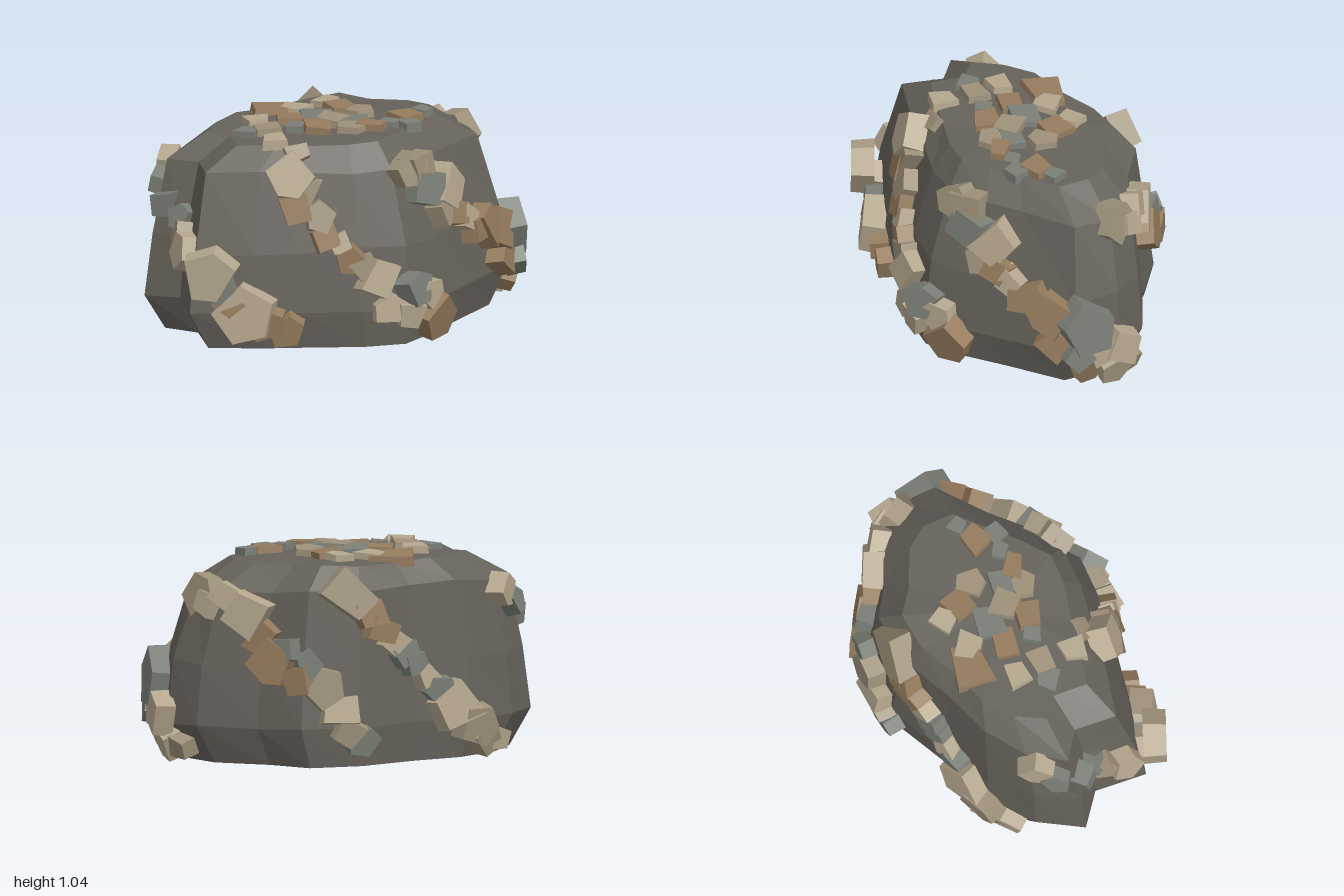
import * as THREE from 'three';
import { ConvexGeometry } from 'three/addons/geometries/ConvexGeometry.js';

// widest outline of the boulder, [x, z]
const OUTLINE = [
  [0.92, -0.03], [0.87, 0.2], [0.57, 0.36], [0.36, 0.48], [0.13, 0.58], [-0.1, 0.53],
  [-0.38, 0.41], [-0.6, 0.32], [-0.88, 0.18], [-0.8, -0.07], [-0.92, -0.22], [-0.75, -0.4],
  [-0.5, -0.51], [-0.2, -0.54], [0.13, -0.61], [0.43, -0.58], [0.59, -0.4], [0.84, -0.22],
];
// height, x scale, z scale, z shift
const LEVELS = [
  [0.01, 0.88, 0.97, 0], [0.2, 1, 1, 0], [0.5, 0.96, 0.94, -0.01], [0.87, 0.85, 0.81, -0.05], [0.985, 0.63, 0.66, -0.06],
];

// bands of stones winding down the sides: [x, y, z, stone size, extra lift off the surface]
const BANDS = {
  frontBand: [
    [-0.43, 0.85, 0.32, 0.22], [-0.34, 0.78, 0.34, 0.17], [-0.39, 0.7, 0.35, 0.17], [-0.28, 0.66, 0.4, 0.14], [-0.26, 0.57, 0.43, 0.14],
    [-0.19, 0.53, 0.46, 0.12], [-0.15, 0.46, 0.48, 0.12], [-0.09, 0.42, 0.5, 0.14], [-0.03, 0.35, 0.54, 0.18],
    [0.13, 0.29, 0.56, 0.17], [0.02, 0.21, 0.55, 0.13], [0.11, 0.19, 0.57, 0.15], [0.22, 0.25, 0.54, 0.15], [0.27, 0.14, 0.52, 0.2],
  ],
  frontLeftBand: [
    [0.2, 0.84, 0.44, 0.16], [0.29, 0.84, 0.42, 0.18], [0.33, 0.73, 0.43, 0.2], [0.45, 0.7, 0.38, 0.21],
    [0.42, 0.61, 0.42, 0.16], [0.5, 0.57, 0.39, 0.15], [0.56, 0.53, 0.35, 0.13], [0.62, 0.46, 0.33, 0.15], [0.7, 0.45, 0.28, 0.18],
    [0.77, 0.42, 0.24, 0.21], [0.88, 0.38, 0.14, 0.24], [0.79, 0.27, 0.25, 0.16], [0.85, 0.25, 0.19, 0.16],
    [0.91, 0.27, 0.1, 0.16], [0.87, 0.16, 0.15, 0.13], [0.92, 0.24, -0.02, 0.18], [0.9, 0.11, 0, 0.16], [0.89, 0.1, -0.1, 0.13],
  ],
  backLeftBand: [
    [0.75, 0.83, -0.11, 0.18, -0.05], [0.71, 0.79, -0.18, 0.13, -0.02], [0.66, 0.83, -0.24, 0.15, -0.02], [0.6, 0.75, -0.32, 0.21],
    [0.56, 0.64, -0.39, 0.15], [0.52, 0.52, -0.44, 0.2], [0.49, 0.57, -0.5, 0.15], [0.4, 0.53, -0.57, 0.13], [0.42, 0.44, -0.56, 0.15],
    [0.33, 0.4, -0.58, 0.19], [0.24, 0.28, -0.6, 0.19], [0.2, 0.19, -0.6, 0.14], [0.13, 0.14, -0.61, 0.13],
  ],
  backBand: [
    [0.16, 0.85, -0.53, 0.25, -0.03], [0.07, 0.75, -0.54, 0.15], [0.02, 0.67, -0.55, 0.16], [-0.05, 0.61, -0.54, 0.13],
    [-0.11, 0.55, -0.53, 0.13], [-0.17, 0.49, -0.53, 0.13], [-0.24, 0.43, -0.53, 0.12], [-0.31, 0.36, -0.53, 0.13],
    [-0.4, 0.28, -0.53, 0.23], [-0.48, 0.18, -0.5, 0.18], [-0.55, 0.12, -0.47, 0.17], [-0.62, 0.1, -0.43, 0.14],
  ],
  rightBand: [
    [-0.68, 0.8, -0.33, 0.15], [-0.7, 0.73, -0.26, 0.13], [-0.74, 0.66, -0.17, 0.12], [-0.75, 0.6, -0.1, 0.11],
    [-0.77, 0.54, -0.02, 0.12], [-0.82, 0.49, 0.08, 0.15], [-0.88, 0.42, 0.23, 0.25, 0.05], [-0.83, 0.37, 0.22, 0.14], [-0.78, 0.32, 0.26, 0.14],
    [-0.73, 0.26, 0.28, 0.15], [-0.65, 0.22, 0.32, 0.24], [-0.57, 0.16, 0.36, 0.16], [-0.47, 0.12, 0.4, 0.14],
  ],
};

// flat stones on the top: [x, z, size]
const TOP_STONES = [
  [-0.15, -0.34, 0.2], [-0.05, -0.29, 0.15], [0.12, -0.3, 0.13], [-0.32, -0.19, 0.13], [-0.15, -0.13, 0.15],
  [-0.03, -0.13, 0.17], [0.15, -0.2, 0.17], [0.2, -0.08, 0.15], [-0.42, -0.07, 0.12], [-0.33, -0.04, 0.13],
  [-0.2, 0, 0.1], [-0.1, 0.04, 0.15], [0.02, -0.02, 0.16], [0.1, 0.03, 0.15], [-0.37, 0.12, 0.14],
  [-0.31, 0.22, 0.12], [0.04, 0.12, 0.12], [0.14, 0.14, 0.13], [0.25, 0.14, 0.09], [0.36, 0.08, 0.14],
  [0.47, 0.04, 0.09], [0.33, 0.17, 0.1],
];

const material = (color) => new THREE.MeshStandardMaterial({ color, flatShading: true });

function seeded(seed) {
  return () => {
    seed = (seed * 16807) % 2147483647;
    return seed / 2147483647;
  };
}

// faceted boulder lofted through scaled copies of the outline
function makeBoulder(random) {
  const n = OUTLINE.length, position = [], index = [];
  LEVELS.forEach(([y, sx, sz, shift], l) => {
    OUTLINE.forEach(([x, z]) => {
      const wobble = l < 2 ? 1 : 1 + (random() - 0.5) * 0.02;
      const lift = l === 0 ? 0 : (random() - 0.5) * (l === 4 ? 0.015 : 0.03);
      position.push(x * sx * wobble, y + lift, z * sz * wobble + shift);
    });
  });
  position.push(0, 0.01, 0, 0, 1.0, -0.05);
  const bottom = n * LEVELS.length, top = bottom + 1, last = n * (LEVELS.length - 1);
  for (let i = 0; i < n; i++) {
    const j = (i + 1) % n;
    for (let l = 0; l < LEVELS.length - 1; l++) {
      const a = l * n + i, b = l * n + j, c = b + n, d = a + n;
      index.push(a, d, c, a, c, b);
    }
    index.push(bottom, i, j, top, last + j, last + i);
  }
  const geometry = new THREE.BufferGeometry();
  geometry.setAttribute('position', new THREE.Float32BufferAttribute(position, 3));
  geometry.setIndex(index);
  const flat = geometry.toNonIndexed();
  flat.computeVertexNormals();
  const mesh = new THREE.Mesh(flat, material(0x66625b));
  mesh.name = 'boulder';
  return mesh;
}

// chipped slab with four or five uneven sides, lying on its local xz plane
function makeStone(size, thickness, random, mat) {
  const sides = 4 + Math.floor(random() * 1.6);
  const points = [], turn = random() * 6.28, stretch = 0.95 + random() * 0.25;
  for (let i = 0; i < sides; i++) {
    const a = turn + ((i + (random() - 0.5) * 0.4) / sides) * Math.PI * 2;
    const r = size * (0.54 + random() * 0.14);
    const x = Math.cos(a) * r * stretch, z = Math.sin(a) * r;
    points.push(new THREE.Vector3(x, -thickness / 2, z));
    points.push(new THREE.Vector3(x * 0.93, thickness / 2, z * 0.93));
  }
  return new THREE.Mesh(new ConvexGeometry(points), mat);
}

export function createModel() {
  const random = seeded(4217);
  const model = new THREE.Group();
  model.name = 'rock';
  const boulder = makeBoulder(random);
  model.add(boulder);

  const palette = [0xb5a78e, 0x957b5d, 0x7b7f76, 0x9e917a].map(material);
  const up = new THREE.Vector3(0, 1, 0);
  const hitFrom = (origin, direction) => new THREE.Raycaster(origin, direction).intersectObject(boulder)[0];
  const pick = () => palette[Math.floor(random() * palette.length)];

  // stones seated on the boulder's sides
  for (const [name, stones] of Object.entries(BANDS)) {
    const band = new THREE.Group();
    band.name = name;
    for (const [x, y, z, size, lift = 0] of stones) {
      const out = new THREE.Vector3(x, 0, z).normalize();
      const hit = hitFrom(new THREE.Vector3(x, y, z).addScaledVector(out, 0.8), out.clone().negate());
      const thickness = 0.06 + size * 0.22;
      const stone = makeStone(size, thickness, random, pick());
      stone.name = 'bandStone';
      const normal = hit.face.normal.clone().lerp(out, 0.2);
      normal.x += (random() - 0.5) * 0.25;
      normal.y += (random() - 0.5) * 0.25;
      normal.z += (random() - 0.5) * 0.25;
      normal.normalize();
      stone.quaternion.setFromUnitVectors(up, normal);
      stone.position.copy(hit.point).addScaledVector(normal, thickness * 0.35 + lift);
      stone.position.y = Math.max(stone.position.y, size * 0.6);
      band.add(stone);
    }
    model.add(band);
  }

  // paving of thin stones on the top
  const paving = new THREE.Group();
  paving.name = 'topStones';
  for (const [x, z, size] of TOP_STONES) {
    const hit = hitFrom(new THREE.Vector3(x, 2, z), new THREE.Vector3(0, -1, 0));
    const stone = makeStone(size, 0.05, random, pick());
    stone.name = 'topStone';
    stone.quaternion.setFromUnitVectors(up, hit.face.normal);
    stone.position.copy(hit.point).addScaledVector(up, 0.004 + random() * 0.008);
    paving.add(stone);
  }
  model.add(paving);
  return model;
}
